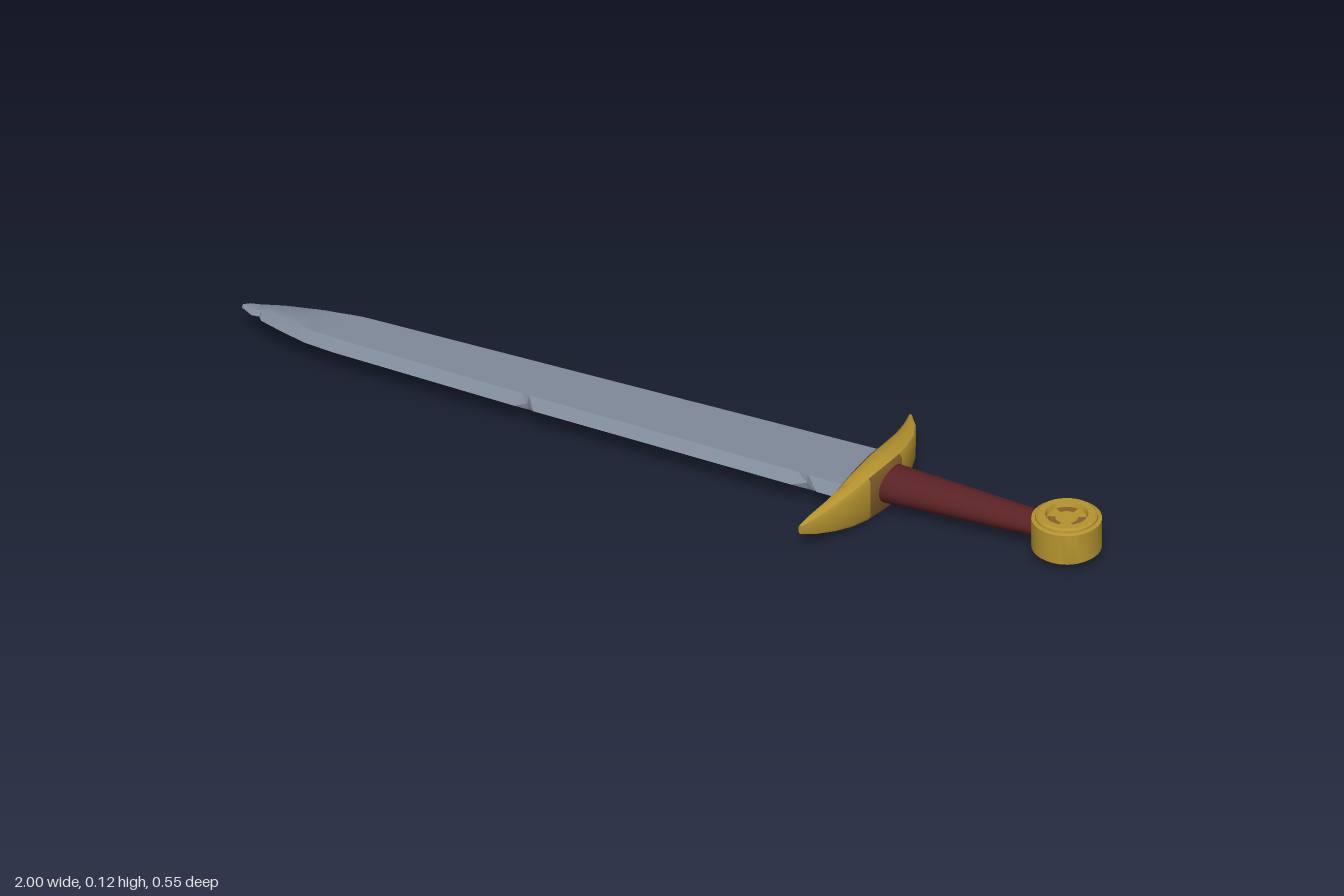
import * as THREE from 'three';
import { toCreasedNormals } from 'three/addons/utils/BufferGeometryUtils.js';

const mat = (name, color, extra = {}) => {
  const m = new THREE.MeshStandardMaterial({ color, ...extra });
  m.name = name;
  return m;
};

const MID = 0.06; // height of the sword's middle plane

// Piecewise linear curve through [x, value] points
function lerpAt(points, x) {
  for (let i = 1; i < points.length; i++) {
    const [x0, v0] = points[i - 1], [x1, v1] = points[i];
    if (x <= x1) return v0 + (v1 - v0) * Math.max(0, (x - x0) / (x1 - x0));
  }
  return points[points.length - 1][1];
}

// Closed loft through rings of [x, y, z]; paint(station, side) picks a material index
function loft(rings, crease, paint = () => 0) {
  const n = rings[0].length, last = (rings.length - 1) * n;
  const index = [];
  const geo = new THREE.BufferGeometry();
  for (let i = 0; i < rings.length - 1; i++) {
    for (let j = 0; j < n; j++) {
      const a = i * n + j, b = i * n + (j + 1) % n;
      geo.addGroup(index.length, 6, paint(i, j));
      index.push(a, b, b + n, a, b + n, a + n);
    }
  }
  geo.addGroup(index.length, (n - 2) * 6, 0);
  for (let j = 1; j < n - 1; j++) {
    index.push(0, j + 1, j, last, last + j, last + j + 1);
  }
  geo.setAttribute('position', new THREE.Float32BufferAttribute(rings.flat(2), 3));
  geo.setIndex(index);
  return toCreasedNormals(geo, crease);
}

function bladeGeometry() {
  const back = [[-1, 0.235], [-0.99, 0.218], [-0.933, 0.182], [-0.853, 0.144], [-0.757, 0.112], [0.47, -0.147]];
  const front = [[-1, 0.242], [-0.96, 0.257], [-0.88, 0.267], [-0.81, 0.273], [-0.74, 0.267], [-0.29, 0.198], [0.47, 0.07]];
  const thickness = [[-1, 0.005], [-0.93, 0.011], [-0.78, 0.018], [0.47, 0.018]];
  // Nicks in the cutting edges: x, depth
  const backNicks = [[-0.815, 0], [-0.803, 0.013], [-0.79, 0.006], [-0.775, 0.022], [-0.757, 0], [-0.045, 0], [-0.022, 0.027], [0, 0]];
  const frontNicks = [[-0.965, 0], [-0.95, 0.01], [-0.935, 0], [-0.305, 0], [-0.288, 0.022], [-0.26, 0], [0.35, 0], [0.372, 0.022], [0.41, 0]];
  const xs = [...new Set([...back, ...front, ...thickness, ...backNicks, ...frontNicks].map(p => p[0]))].sort((a, b) => a - b);
  return loft(xs.map(x => {
    const b = lerpAt(back, x), f = lerpAt(front, x), t = lerpAt(thickness, x);
    const inset = Math.min(0.027, (f - b) * 0.3);
    return [
      [x, MID, b + lerpAt(backNicks, x)], [x, MID + t, b + inset], [x, MID + t, f - inset],
      [x, MID, f - lerpAt(frontNicks, x)], [x, MID - t, f - inset], [x, MID - t, b + inset],
    ];
  }), 0.5);
}

function guardGeometry() {
  // z, blade-side x, grip-side x, half height
  const stations = [
    [0.22, 0.47, 0.478, 0.011], [0.19, 0.467, 0.492, 0.022], [0.14, 0.466, 0.508, 0.035],
    [0.09, 0.462, 0.517, 0.046], [0.035, 0.45, 0.52, 0.055], [-0.035, 0.436, 0.519, 0.059],
    [-0.085, 0.427, 0.511, 0.054], [-0.13, 0.421, 0.496, 0.046], [-0.187, 0.413, 0.468, 0.034],
    [-0.235, 0.399, 0.433, 0.022], [-0.273, 0.383, 0.393, 0.01],
  ];
  // Upper half of the cross-section: fraction across, fraction of height
  const upper = [[0, 0.35], [0.36, 0.95], [0.65, 1], [0.93, 0.93], [1, 0.75]];
  const section = [...upper, ...[...upper].reverse().map(([u, v]) => [u, -v])];
  const rings = stations.map(([z, x0, x1, h]) => section.map(([u, v]) => [x0 + (x1 - x0) * u, MID + v * h, z]));
  // Worn centre on the slopes beside the blade and on the face around the grip
  const worn = (i, j) => {
    if (j === 0 || j === 8 || j === 9) return i >= 4 && i <= 6 ? 1 : 0;
    return j >= 3 && j <= 5 && i >= 4 && i <= 5 ? 1 : 0;
  };
  return loft(rings, 0.8, worn);
}

export function createModel() {
  const steel = mat('steel', 0x7f8a99);
  const gold = mat('gold', 0xb5942f);
  const leather = mat('red leather', 0x5a2224);
  const worn = mat('worn brass', 0x85602c, { side: THREE.DoubleSide });

  const sword = new THREE.Group();
  sword.name = 'sword';
  const add = (name, geo, material, parent = sword) => {
    const mesh = new THREE.Mesh(geo, material);
    mesh.name = name;
    parent.add(mesh);
    return mesh;
  };

  add('blade', bladeGeometry(), steel);
  add('guard', guardGeometry(), [gold, worn]);

  // Tapered oval grip
  const gripGeo = new THREE.CylinderGeometry(0.032, 0.052, 0.4, 24, 4);
  gripGeo.rotateZ(-Math.PI / 2);
  gripGeo.scale(1, 0.8, 1);
  const grip = add('grip', gripGeo, leather);
  grip.position.set(0.675, MID, -0.074);
  grip.rotation.y = 0.182;

  // Drum pommel with a raised rim and a sunken face on both ends
  const pommel = new THREE.Group();
  pommel.name = 'pommel';
  pommel.position.set(0.925, MID, -0.119);
  sword.add(pommel);
  const half = [[0, 0.034], [0.042, 0.034], [0.046, 0.045], [0.061, 0.045], [0.066, 0.042], [0.067, 0.037], [0.075, 0.035]];
  const profile = [...half.map(([r, y]) => [r, -y]), ...[...half].reverse()];
  const drum = new THREE.LatheGeometry(profile.map(([r, y]) => new THREE.Vector2(r, y)), 36);
  add('pommelDrum', toCreasedNormals(drum, 0.5), gold, pommel);

  // Worn arcs in the sunken faces
  for (const side of [1, -1]) {
    for (let k = 0; k < 3; k++) {
      const arc = new THREE.RingGeometry(0.024, 0.041, 10, 1, k * 2.094 - 0.5, 1.2);
      arc.rotateX(-side * Math.PI / 2);
      arc.translate(0, side * 0.0355, 0);
      add('pommelWear', arc, worn, pommel);
    }
  }
  return sword;
}
